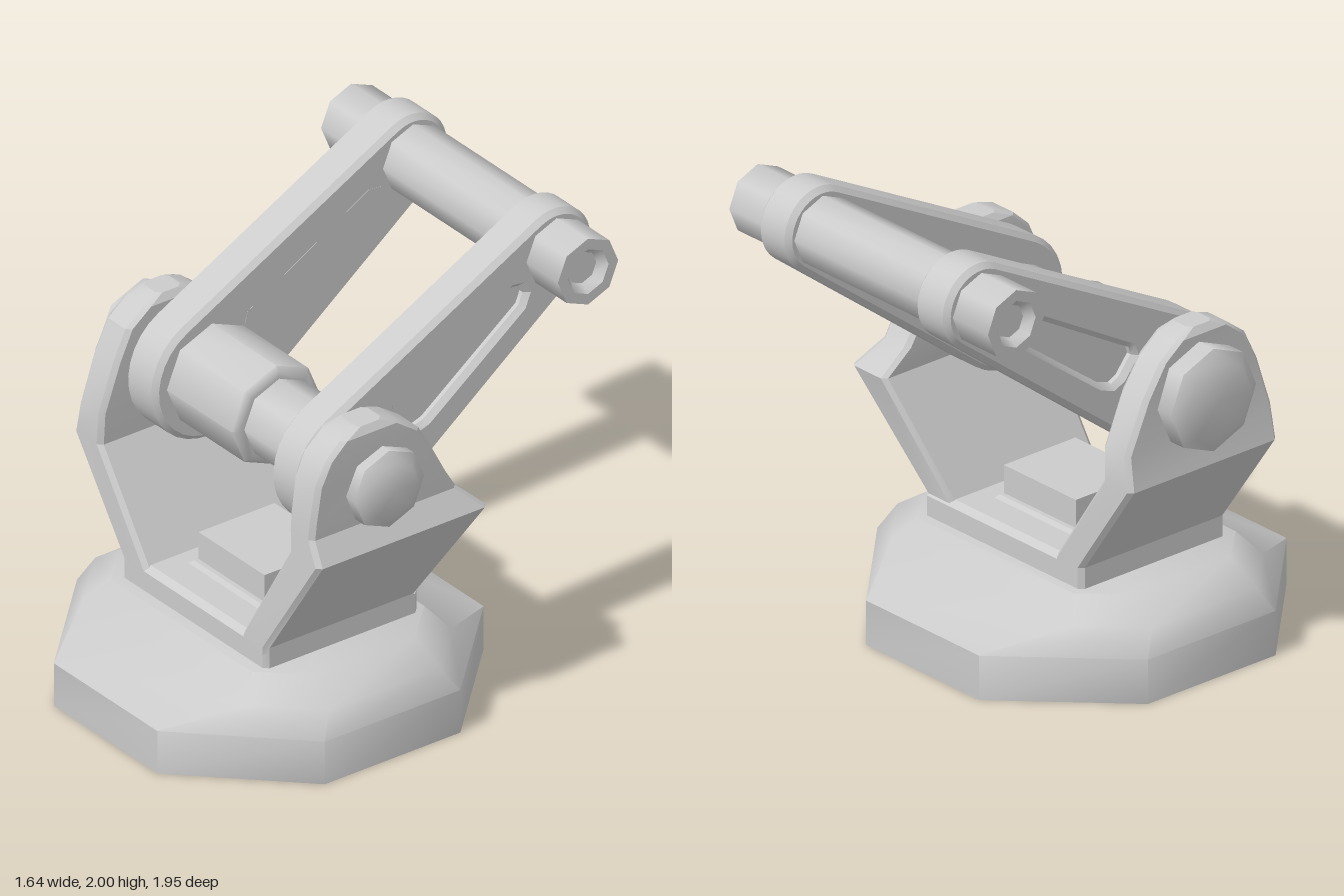
import * as THREE from 'three';
import { toCreasedNormals } from 'three/addons/utils/BufferGeometryUtils.js';

const grey = new THREE.MeshStandardMaterial({ color: 0xcccccc });

function part(name, geometry, crease, parent) {
  const mesh = new THREE.Mesh(toCreasedNormals(geometry, crease), grey);
  mesh.name = name;
  parent.add(mesh);
  return mesh;
}

// Eight-cornered horizontal ring; kx and kz are where the corner cuts begin
function ring(y, cx, cz, hx, hz, kx, kz) {
  return [[hx, kz], [hx, -kz], [kx, -hz], [-kx, -hz], [-hx, -kz], [-hx, kz], [-kx, hz], [kx, hz]]
    .map(([x, z]) => [cx + x, y, cz + z]);
}

// Chamfered rectangle given by its limits
function block(y, x0, x1, z0, z1, cut = 0.02) {
  const hx = Math.abs(x1 - x0) / 2, hz = (z1 - z0) / 2;
  return ring(y, (x0 + x1) / 2, (z0 + z1) / 2, hx, hz, hx - cut, hz - cut);
}

// Closed solid through a stack of rings, bottom to top
function loft(rings) {
  const n = rings[0].length, pos = [];
  const tri = (...p) => p.forEach(v => pos.push(...v));
  for (let r = 0; r < rings.length - 1; r++) {
    const lo = rings[r], hi = rings[r + 1];
    for (let i = 0; i < n; i++) {
      const j = (i + 1) % n;
      tri(lo[i], lo[j], hi[j]);
      tri(lo[i], hi[j], hi[i]);
    }
  }
  const bottom = rings[0], top = rings[rings.length - 1];
  for (let i = 1; i < n - 1; i++) {
    tri(bottom[0], bottom[i + 1], bottom[i]);
    tri(top[0], top[i], top[i + 1]);
  }
  const g = new THREE.BufferGeometry();
  g.setAttribute('position', new THREE.Float32BufferAttribute(pos, 3));
  return g;
}

// Eight-sided turned part lying along x; profile is [x, radius]
function turned(profile, y, z) {
  return new THREE.LatheGeometry(profile.map(([x, r]) => new THREE.Vector2(r, x)), 8)
    .rotateZ(-Math.PI / 2).translate(0, y, z);
}

// Tapered link outline between the axle and the top bar (u = -z)
function linkShape() {
  const a = Math.atan2(0.63, 0.98), t = Math.acos(0.1 / Math.hypot(0.63, 0.98));
  const s = new THREE.Shape();
  s.absarc(-0.19, 1.19, 0.28, a + t, a - t + Math.PI * 2, false);
  s.absarc(0.79, 1.82, 0.18, a - t, a + t, false);
  s.closePath();
  return s;
}

const slot = [[0, 1.36], [0.01, 1.395], [0.04, 1.41], [0.58, 1.72], [0.62, 1.715], [0.64, 1.68],
  [0.62, 1.63], [0.16, 1.285], [0.1, 1.265], [0.06, 1.285]].map(p => new THREE.Vector2(...p));

function link(x0, x1, side, parent) {
  const group = new THREE.Group();
  group.name = side > 0 ? 'leftLink' : 'rightLink';
  const bevel = 0.022, width = x1 - x0, depth = 0.04;
  const shape = linkShape();
  shape.holes.push(new THREE.Path(slot));
  const body = new THREE.ExtrudeGeometry(shape, {
    depth: width - 2 * bevel, curveSegments: 8, bevelSegments: 1,
    bevelSize: bevel, bevelThickness: bevel, bevelOffset: -bevel
  });
  body.rotateY(Math.PI / 2).translate(x0 + bevel, 0, 0);
  part('linkBody', body, 0.6, group);
  // Fills the slot from the inner face, leaving a recess on the outer face
  const floor = new THREE.ExtrudeGeometry(new THREE.Shape(slot), {
    depth: width - depth, bevelSegments: 0, bevelSize: 0.03, bevelThickness: 0
  });
  floor.rotateY(Math.PI / 2).translate(side > 0 ? x0 - 0.001 : x0 + depth + 0.001, 0, 0);
  part('slotFloor', floor, 0.3, group);
  parent.add(group);
}

export function createModel() {
  const model = new THREE.Group();
  model.name = 'hingedArm';

  // Octagonal foot with sloped shoulders
  part('base', loft([
    ring(0, 0.01, 0.185, 0.79, 0.795, 0.33, 0.33),
    ring(0.19, 0.01, 0.185, 0.79, 0.795, 0.33, 0.33),
    ring(0.29, 0.01, 0.19, 0.745, 0.49, 0.53, 0.27),
    ring(0.38, 0.01, 0.19, 0.61, 0.42, 0.45, 0.25)
  ]), 0.8, model);

  // Fork: floor plate and two cranked cheeks, rows of [y, inner x, outer x, back z, front z]
  const fork = new THREE.Group();
  fork.name = 'fork';
  model.add(fork);
  part('forkPlate', loft([
    block(0.36, -0.44, 0.48, -0.19, 0.56),
    block(0.465, -0.44, 0.48, -0.19, 0.56),
    block(0.485, -0.42, 0.46, -0.16, 0.53)
  ]), 0.3, fork);
  const cheeks = {
    leftCheek: [
      [0.38, 0.32, 0.48, -0.18, 0.56], [0.47, 0.32, 0.48, -0.18, 0.56],
      [0.95, 0.585, 0.78, -0.3, 0.53], [1.05, 0.575, 0.725, -0.19, 0.525],
      [1.13, 0.575, 0.73, -0.14, 0.52], [1.28, 0.575, 0.735, -0.06, 0.5],
      [1.38, 0.575, 0.74, 0, 0.455], [1.45, 0.58, 0.74, 0.1, 0.38],
      [1.48, 0.6, 0.72, 0.17, 0.3]
    ],
    rightCheek: [
      [0.38, -0.28, -0.44, -0.19, 0.56], [0.47, -0.28, -0.44, -0.19, 0.56],
      [0.9, -0.57, -0.74, -0.2, 0.565], [1.04, -0.56, -0.71, -0.19, 0.565],
      [1.25, -0.55, -0.705, -0.09, 0.5], [1.38, -0.55, -0.7, 0, 0.44],
      [1.45, -0.55, -0.7, 0.09, 0.35], [1.48, -0.57, -0.68, 0.16, 0.28]
    ]
  };
  for (const [name, rows] of Object.entries(cheeks))
    part(name, loft(rows.map(r => block(...r))), 0.4, fork);

  // Stepped pad on the fork floor
  part('padFlange', loft([
    block(0.47, -0.24, 0.26, -0.05, 0.42, 0.005),
    block(0.5, -0.2, 0.23, -0.02, 0.39, 0.005)
  ]), 0.3, model);
  part('pad', new THREE.BoxGeometry(0.42, 0.14, 0.37).translate(0.015, 0.55, 0.185), 0.3, model);

  // Stepped axle with chamfered end caps
  part('axle', turned([
    [-0.82, 0], [-0.82, 0.165], [-0.785, 0.22], [0.065, 0.22], [0.083, 0.2],
    [0.083, 0.17], [0.785, 0.17], [0.82, 0.12], [0.82, 0]
  ], 1.2, 0.19), 0.8, model);

  // Twin links, recessed on their outer faces
  link(-0.535, -0.345, -1, model);
  link(0.39, 0.57, 1, model);

  // Top bar with dished ends
  part('topBar', turned([
    [-0.7, 0], [-0.7, 0.07], [-0.74, 0.1], [-0.74, 0.147],
    [0.77, 0.147], [0.77, 0.1], [0.73, 0.07], [0.73, 0]
  ], 1.82, -0.79), 0.8, model);

  return model;
}
